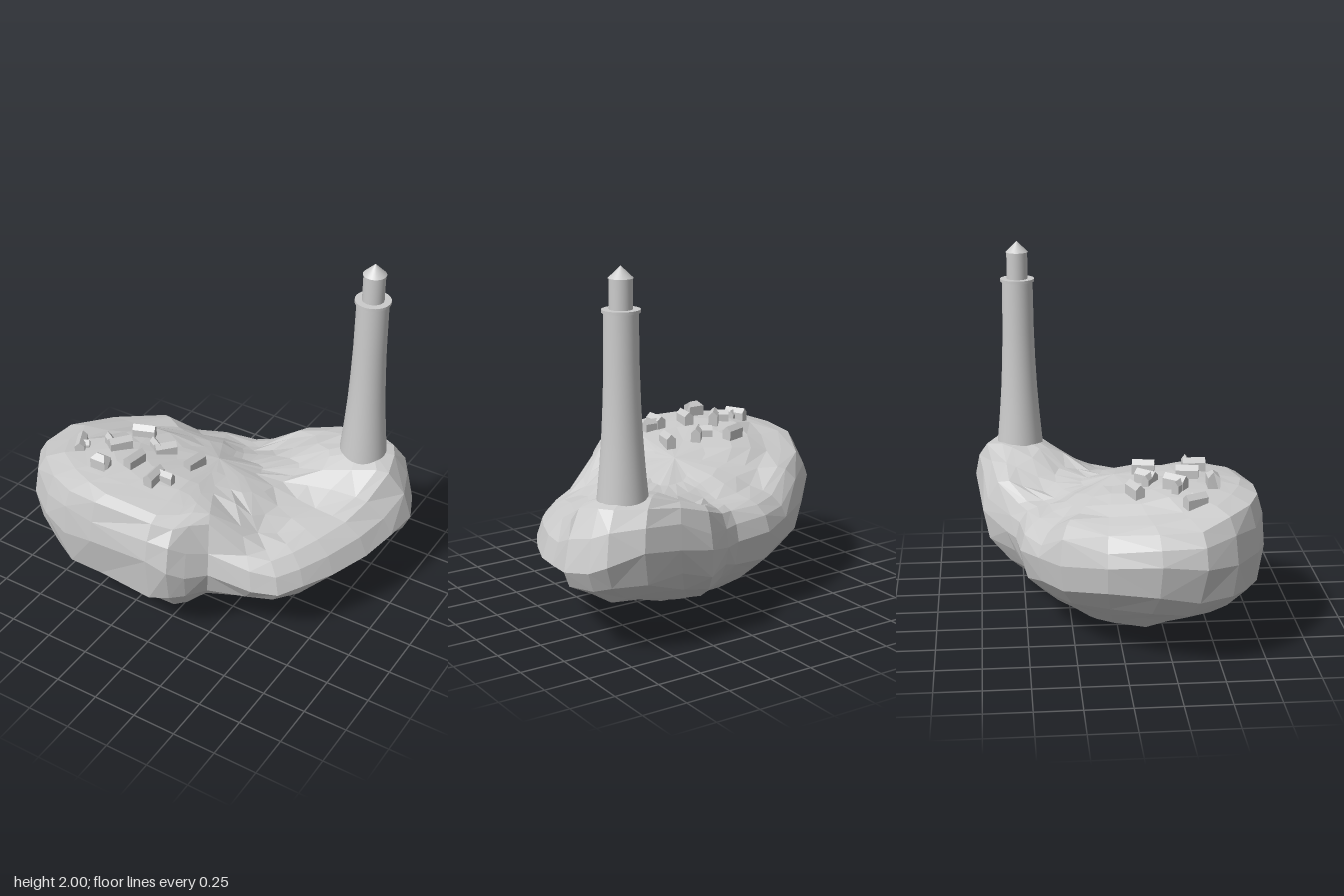
import * as THREE from 'three';

// widest outline of the island: x, z, height, inset of the upper rim, fullness of the underside
const OUTLINE = [
  [-0.98, 0.4, 0.62, 0.06, 1.25], [-0.98, 0.17, 0.62, 0.07, 1.05], [-0.86, -0.1, 0.58, 0.09, 1],
  [-0.63, -0.33, 0.52, 0.12, 1.05], [-0.45, -0.44, 0.48, 0.13, 1.1], [-0.27, -0.53, 0.45, 0.13, 1.1],
  [-0.05, -0.55, 0.45, 0.12, 1.1], [0.05, -0.6, 0.47, 0.12, 1.1], [0.24, -0.73, 0.5, 0.12, 1.1],
  [0.45, -0.75, 0.56, 0.1, 1.05], [0.68, -0.77, 0.58, 0.09, 1], [0.86, -0.7, 0.55, 0.1, 0.95],
  [0.92, -0.62, 0.5, 0.11, 0.9], [0.98, -0.48, 0.48, 0.13, 0.85], [0.95, -0.3, 0.45, 0.15, 0.7],
  [0.9, -0.1, 0.43, 0.15, 0.6], [0.81, 0.12, 0.41, 0.14, 0.55], [0.72, 0.29, 0.4, 0.13, 0.55],
  [0.63, 0.41, 0.39, 0.12, 0.55], [0.5, 0.48, 0.39, 0.13, 0.65], [0.27, 0.55, 0.44, 0.13, 1.1],
  [0.19, 0.66, 0.5, 0.15, 1.5], [0.12, 0.73, 0.54, 0.13, 1.75], [0, 0.75, 0.56, 0.09, 1.9],
  [-0.35, 0.765, 0.58, 0.05, 1.7], [-0.53, 0.76, 0.58, 0.05, 1.5], [-0.7, 0.7, 0.58, 0.06, 1.35],
  [-0.87, 0.57, 0.6, 0.07, 1.25],
];

// spot heights of the ground: x, z, y
const SPOTS = [
  [-0.45, 0.35, 0.885], [-0.5, 0.72, 0.87], [-0.72, 0.45, 0.86], [-0.88, 0.25, 0.8], [-0.1, 0.4, 0.87],
  [-0.15, 0.7, 0.86], [0.15, 0.62, 0.78], [-0.1, 0.1, 0.83], [-0.4, 0.05, 0.84], [-0.6, -0.15, 0.75],
  [-0.3, -0.4, 0.62], [0, -0.42, 0.63], [-0.2, -0.15, 0.76], [0.15, -0.2, 0.71], [0.22, 0.1, 0.78],
  [0.25, 0.32, 0.78], [0.1, 0.45, 0.84], [0.47, 0.35, 0.56], [0.6, 0.2, 0.59], [0.48, 0.05, 0.67],
  [0.72, -0.05, 0.61], [0.55, -0.35, 0.81], [0.64, -0.5, 0.85], [0.85, -0.5, 0.83], [0.45, -0.6, 0.82],
  [0.65, -0.7, 0.82], [0.28, -0.6, 0.71], [0.8, -0.22, 0.66], [0.37, -0.2, 0.7],
];

// ground height as a soft blend of the nearby spots
function groundY(x, z) {
  let sum = 0, total = 0;
  for (const [sx, sz, sy] of SPOTS) {
    const w = Math.exp(-((x - sx) ** 2 + (z - sz) ** 2) / 0.026);
    sum += w * sy;
    total += w;
  }
  return sum / total;
}

// repeatable noise in -0.5..0.5
const noise = (a, b) => {
  const v = Math.sin(a * 127.1 + b * 311.7) * 43758.5453;
  return v - Math.floor(v) - 0.5;
};

function islandGeometry() {
  const rings = [];
  // ground, from the middle out to the rim
  for (const s of [0, 0.25, 0.45, 0.62, 0.77, 0.9]) {
    rings.push(OUTLINE.map(([x, z, , k], i) => {
      const t = s * (1 - k) * (1 + 0.08 * noise(i, s));
      return [x * t, groundY(x * t, z * t), z * t];
    }));
  }
  // steep upper flanks down to the widest outline
  for (const [inset, rise] of [[1, 0.9], [0.33, 0.52], [0, 0]]) {
    rings.push(OUTLINE.map(([x, z, y, k], i) => {
      const t = 1 - inset * k;
      const jitter = inset < 1 ? 0.2 * noise(i, 7 + inset) : 0;
      const top = groundY(x * (1 - k), z * (1 - k));
      return [x * t, y + (top - y) * (rise + jitter), z * t];
    }));
  }
  // underside, closing at the keel
  for (const [s, f] of [[0.94, 0.73], [0.8, 0.52], [0.6, 0.34], [0.35, 0.13], [0.15, 0.03], [0, 0]]) {
    rings.push(OUTLINE.map(([x, z, y, , full], i) => {
      const t = s * (1 + 0.06 * noise(i, s + 3));
      const height = f ** (1 + (full - 1) * s) * (1 + 0.12 * noise(s, i + 5));
      return [-0.14 + (x + 0.14) * t, y * height, z * t];
    }));
  }
  const pos = [];
  const n = OUTLINE.length;
  const last = rings.length - 2;
  for (let j = 0; j <= last; j++) {
    for (let i = 0; i < n; i++) {
      const a = rings[j][i], b = rings[j][(i + 1) % n];
      const c = rings[j + 1][i], d = rings[j + 1][(i + 1) % n];
      if (j === 0) pos.push(...a, ...d, ...c);
      else if (j === last) pos.push(...a, ...b, ...c);
      // alternate the diagonals for an irregular, faceted rock
      else if (noise(i, j) > 0) pos.push(...a, ...b, ...c, ...b, ...d, ...c);
      else pos.push(...a, ...d, ...c, ...a, ...b, ...d);
    }
  }
  const geo = new THREE.BufferGeometry();
  geo.setAttribute('position', new THREE.Float32BufferAttribute(pos, 3));
  geo.computeVertexNormals();
  return geo;
}

// gabled block between two ground points; hip pulls the ridge ends inwards
function house(x1, z1, x2, z2, w = 0.055, wall = 0.045, hip = 0) {
  const length = Math.hypot(x2 - x1, z2 - z1);
  const sink = -0.04;
  const shape = new THREE.Shape([
    new THREE.Vector2(-w / 2, sink), new THREE.Vector2(w / 2, sink), new THREE.Vector2(w / 2, wall),
    new THREE.Vector2(0, wall + 0.026), new THREE.Vector2(-w / 2, wall),
  ]);
  const geo = new THREE.ExtrudeGeometry(shape, { depth: length, bevelEnabled: false });
  geo.translate(0, 0, -length / 2);
  const p = geo.attributes.position;
  for (let i = 0; i < p.count; i++) {
    if (p.getY(i) > wall + 0.01) p.setZ(i, p.getZ(i) * (1 - hip));
  }
  geo.computeVertexNormals();
  const x = (x1 + x2) / 2, z = (z1 + z2) / 2;
  geo.rotateY(Math.atan2(x2 - x1, z2 - z1));
  geo.translate(x, groundY(x, z), z);
  return geo;
}

export function createModel() {
  const model = new THREE.Group();
  const flat = new THREE.MeshStandardMaterial({ color: 0xcccccc, flatShading: true });
  const smooth = new THREE.MeshStandardMaterial({ color: 0xcccccc });
  const add = (parent, name, geo, mat) => {
    const mesh = new THREE.Mesh(geo, mat);
    mesh.name = name;
    parent.add(mesh);
  };

  add(model, 'islandRock', islandGeometry(), flat);

  // lighthouse
  const lighthouse = new THREE.Group();
  lighthouse.name = 'lighthouse';
  lighthouse.position.set(0.645, 0, -0.503);
  model.add(lighthouse);
  const shaft = [[0.137, 0.75], [0.131, 0.83], [0.117, 0.98], [0.105, 1.14], [0.097, 1.3], [0.091, 1.48], [0.088, 1.77]];
  add(lighthouse, 'tower', new THREE.LatheGeometry(shaft.map(([r, y]) => new THREE.Vector2(r, y)), 32), smooth);
  add(lighthouse, 'gallery', new THREE.CylinderGeometry(0.098, 0.098, 0.016, 32).translate(0, 1.776, 0), smooth);
  add(lighthouse, 'lanternRoom', new THREE.CylinderGeometry(0.06, 0.06, 0.16, 32).translate(0, 1.86, 0), smooth);
  add(lighthouse, 'lanternRoof', new THREE.ConeGeometry(0.064, 0.062, 32).translate(0, 1.969, 0), smooth);

  // village: each entry is a house block, with wings listed as separate blocks
  const village = new THREE.Group();
  village.name = 'village';
  model.add(village);
  const blocks = [
    [-0.51, 0.1, -0.39, 0.055],
    [-0.215, 0.11, -0.295, 0.2], [-0.27, 0.185, -0.35, 0.14, 0.04, 0.035],
    [-0.045, 0.1, -0.07, 0.22],
    [-0.425, 0.24, -0.505, 0.34], [-0.48, 0.325, -0.56, 0.275, 0.04, 0.035],
    [-0.705, 0.315, -0.65, 0.425, 0.055, 0.035], [-0.68, 0.38, -0.63, 0.355, 0.04, 0.02],
    [-0.305, 0.31, -0.325, 0.43],
    [-0.15, 0.365, -0.15, 0.49], [-0.15, 0.392, -0.05, 0.392, 0.04, 0.035],
    [-0.505, 0.49, -0.41, 0.49, 0.065, 0.055, 0.5],
  ];
  for (const b of blocks) add(village, 'house', house(...b), flat);

  return model;
}
